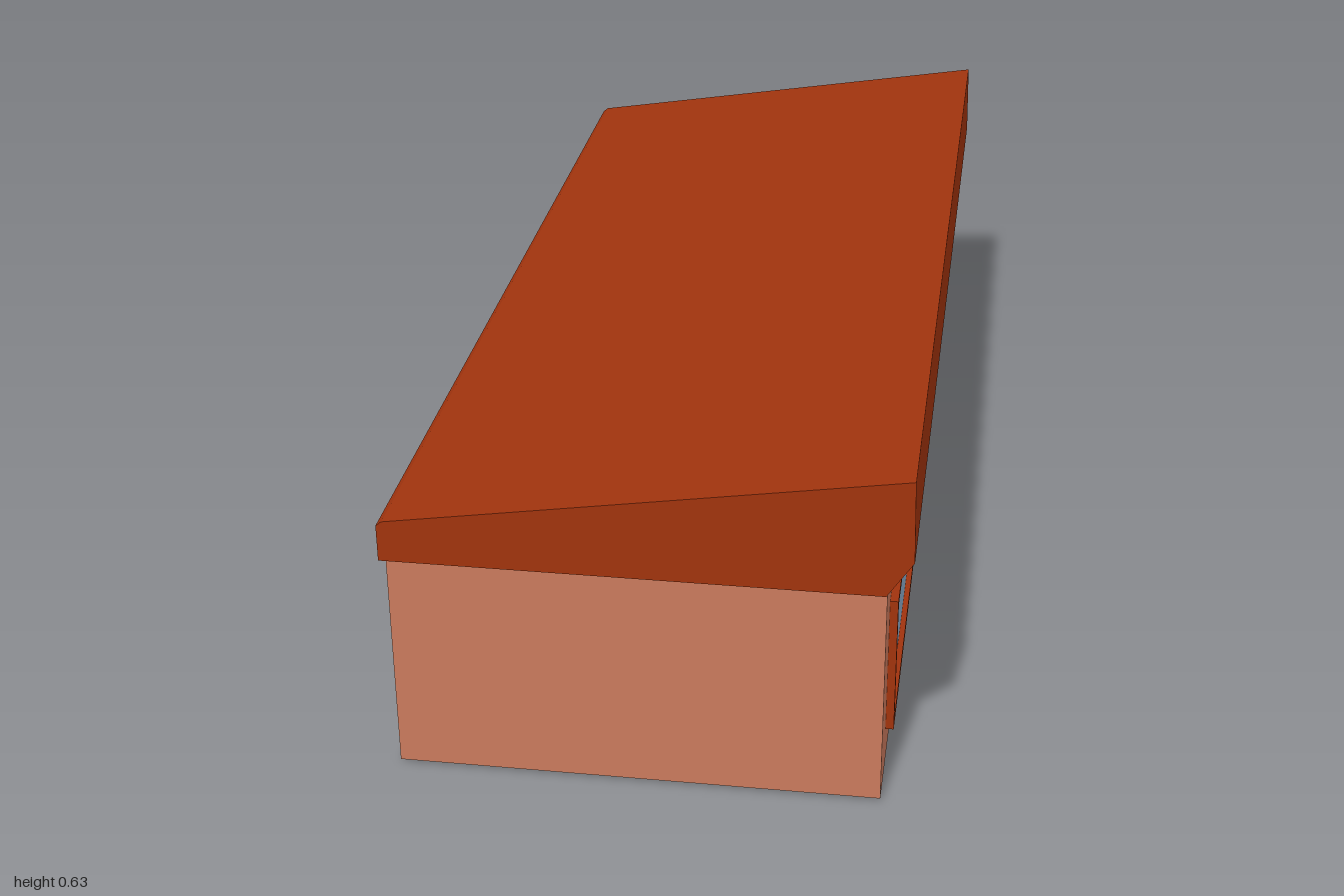
import * as THREE from 'three';

const material = (name, color, side = THREE.FrontSide) => {
  const m = new THREE.MeshStandardMaterial({ color, side });
  m.name = name;
  return m;
};

// Flat convex panels, each a loop of [x, y, z] corners
function panels(name, mat, loops) {
  const pos = [];
  for (const p of loops)
    for (let i = 1; i < p.length - 1; i++) pos.push(...p[0], ...p[i], ...p[i + 1]);
  const g = new THREE.BufferGeometry();
  g.setAttribute('position', new THREE.Float32BufferAttribute(pos, 3));
  g.computeVertexNormals();
  const mesh = new THREE.Mesh(g, mat);
  mesh.name = name;
  return mesh;
}

// Level rectangle facing down
const level = (y, x0, x1, z0, z1) => [[x0, y, z0], [x1, y, z0], [x1, y, z1], [x0, y, z1]];

export function createModel() {
  const wall = material('terracotta wall', 0xc97a5d, THREE.DoubleSide);
  const rust = material('rust roof and trim', 0xa0330d, THREE.DoubleSide);
  const glass = material('blue glass', 0x8aabca);
  const wood = material('brown door', 0x70380f);
  const model = new THREE.Group();
  model.name = 'building';

  const back = -0.435, front = 0.39, recess = 0.218;
  const base = 0.005, eave = 0.425;
  const zMin = -0.94, zMax = 0.96, r0 = -0.165, r1 = 0.255;

  // Walls follow the plan, including the entrance recess
  const plan = [
    [back, zMax], [front, zMax], [front, r1], [recess, r1],
    [recess, r0], [front, r0], [front, zMin], [back, zMin],
  ];
  model.add(panels('walls', wall, plan.map(([x, z], i) => {
    const [u, w] = plan[(i + 1) % plan.length];
    return [[x, base, z], [u, base, w], [u, eave, w], [x, eave, z]];
  })));

  // Floors of both wings, soffits at the ends and over the entrance
  model.add(panels('wingFloors', wall, [
    level(base, back, front, zMin, r0), level(base, back, front, r1, zMax),
  ]));
  model.add(panels('soffits', wall, [
    level(eave, back, front, -1, zMin), level(eave, back, front, zMax, 1),
    level(eave, recess, front, r0, r1),
  ]));
  model.add(panels('middleFloor', rust, [level(base, back, -0.05, r0, r1)]));

  // Hollow sloping roof, open underneath
  const profile = [
    [front, eave], [0.433, 0.49], [0.43, 0.634], [-0.425, 0.498], [back, 0.49], [back, eave],
  ];
  const roof = profile.slice(1).map(([x, y], i) => {
    const [u, w] = profile[i];
    return [[u, w, 1], [u, w, -1], [x, y, -1], [x, y, 1]];
  });
  roof.push(profile.map(([x, y]) => [x, y, 1]), profile.map(([x, y]) => [x, y, -1]).reverse());
  model.add(panels('roof', rust, roof));

  // Framed opening facing +x: trim around a thin pane
  function opening(name, x, z0, z1, y0, y1, pane, isDoor) {
    const t = 0.013, depth = 0.014;
    const group = new THREE.Group();
    group.name = name;
    const box = (part, mat, d, a, b, lo, hi) => {
      const m = new THREE.Mesh(new THREE.BoxGeometry(d, hi - lo, b - a), mat);
      m.position.set(x + d / 2, (lo + hi) / 2, (a + b) / 2);
      m.name = part;
      group.add(m);
    };
    box('frameSide', rust, depth, z0, z0 + t, y0, y1);
    box('frameSide', rust, depth, z1 - t, z1, y0, y1);
    box('frameTop', rust, depth, z0 + t, z1 - t, y1 - t, y1);
    if (!isDoor) box('frameBottom', rust, depth, z0 + t, z1 - t, y0, y0 + t);
    box(isDoor ? 'door' : 'glass', pane, 0.004, z0 + t, z1 - t, isDoor ? y0 : y0 + t, y1 - t);
    model.add(group);
  }
  opening('leftWindow', front, -0.85, -0.25, 0.087, 0.34, glass, false);
  opening('rightWindow', front, 0.34, 0.875, 0.087, 0.34, glass, false);
  opening('entrance', recess, -0.05, 0.14, 0, 0.31, wood, true);

  return model;
}
